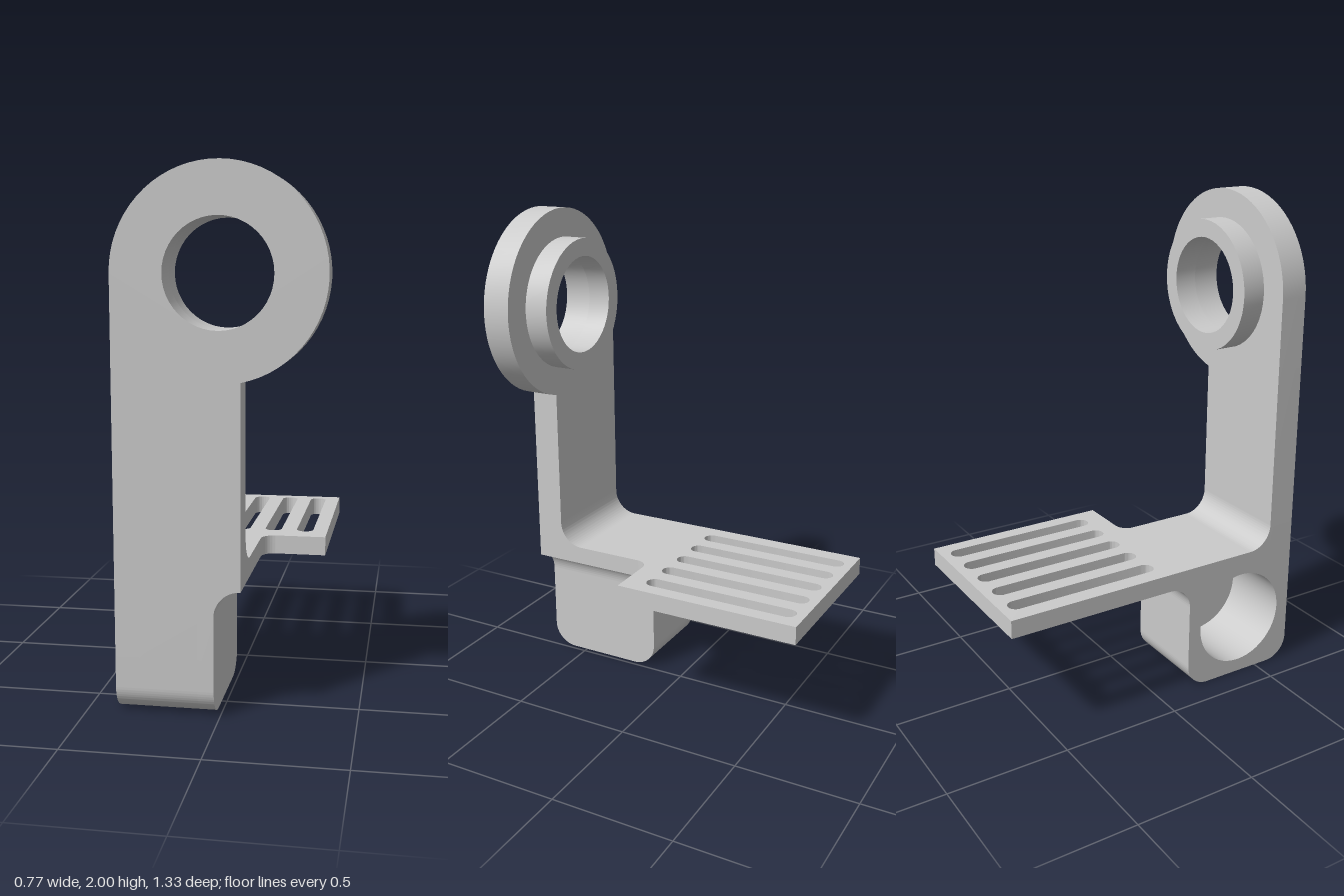
import * as THREE from 'three';
import { toCreasedNormals } from 'three/addons/utils/BufferGeometryUtils.js';

const LEFT = -0.387, RIGHT = 0.08, FRONT = 0.665, BACK = -0.665;
const PLATE_BACK = 0.55, SHELF_LOW = 0.48, SHELF_TOP = 0.555;
const BLOCK_RIGHT = -0.02, BLOCK_BACK = 0.145, R = 0.1;
const EYE_Y = 1.613, EYE_R = 0.387, BORE_R = 0.198;

const material = new THREE.MeshStandardMaterial({ color: 0xcccccc });

function extrude(shape, depth) {
  return new THREE.ExtrudeGeometry(shape, { depth, bevelEnabled: false, curveSegments: 24 });
}

function circle(x, y, r) {
  return new THREE.Path().absarc(x, y, r, 0, Math.PI * 2, false);
}

export function createModel() {
  const group = new THREE.Group();
  const add = (name, geometry) => {
    const mesh = new THREE.Mesh(toCreasedNormals(geometry, 0.4), material);
    mesh.name = name;
    group.add(mesh);
  };
  // Side profiles are drawn in (-z, y) and run along +x
  const alongX = (geometry, x) => geometry.rotateY(Math.PI / 2).translate(x, 0, 0);

  // Upright plate with a round eye at the top
  const plate = new THREE.Shape();
  plate.moveTo(LEFT, SHELF_LOW);
  plate.lineTo(RIGHT, SHELF_LOW);
  plate.lineTo(RIGHT, EYE_Y - Math.sqrt(EYE_R ** 2 - RIGHT ** 2));
  plate.absarc(0, EYE_Y, EYE_R, -Math.acos(RIGHT / EYE_R), Math.PI, false);
  plate.holes.push(circle(0, EYE_Y, BORE_R));
  add('uprightPlate', extrude(plate, FRONT - PLATE_BACK).translate(0, 0, PLATE_BACK));

  // Raised collar behind the eye
  const collar = new THREE.Shape().absarc(0, EYE_Y, 0.27, 0, Math.PI * 2, false);
  collar.holes.push(circle(0, EYE_Y, BORE_R));
  add('eyeCollar', extrude(collar, 0.098).translate(0, 0, 0.452));

  // Slotted shelf, drawn in (x, -z)
  const shelf = new THREE.Shape();
  shelf.moveTo(LEFT, -PLATE_BACK);
  shelf.lineTo(RIGHT, -PLATE_BACK);
  shelf.lineTo(RIGHT, -0.165);
  shelf.absarc(RIGHT + 0.055, -0.165, 0.055, Math.PI, Math.PI / 2, true);
  shelf.lineTo(0.335, -0.11);
  shelf.lineTo(0.335, -BACK);
  shelf.lineTo(LEFT, -BACK);
  for (let i = 0; i < 5; i++) {
    const x = -0.285 + i * 0.1315, r = 0.034;
    const slot = new THREE.Path();
    slot.absarc(x, 0.627 - r, r, 0, Math.PI, false);
    slot.absarc(x, -0.025 + r, r, Math.PI, Math.PI * 2, false);
    shelf.holes.push(slot);
  }
  add('slottedShelf', extrude(shelf, SHELF_TOP - SHELF_LOW)
    .rotateX(-Math.PI / 2).translate(0, SHELF_LOW, 0));

  // Fillet between shelf and plate
  const bend = new THREE.Shape();
  bend.moveTo(-PLATE_BACK, SHELF_TOP);
  bend.lineTo(-PLATE_BACK + R, SHELF_TOP);
  bend.absarc(-PLATE_BACK + R, SHELF_TOP + R, R, -Math.PI / 2, -Math.PI, true);
  add('shelfFillet', alongX(extrude(bend, RIGHT - LEFT), LEFT));

  // Lower block with a blind bore open on the -x side
  const blockShape = () => {
    const s = new THREE.Shape();
    s.moveTo(-FRONT, SHELF_LOW);
    s.lineTo(-FRONT, R);
    s.absarc(-FRONT + R, R, R, Math.PI, Math.PI * 1.5, false);
    s.absarc(-BLOCK_BACK - R, R, R, -Math.PI / 2, 0, false);
    s.lineTo(-BLOCK_BACK, SHELF_LOW);
    return s;
  };
  const floorX = -0.08;
  const bored = blockShape();
  bored.holes.push(circle(-0.405, 0.26, 0.203));
  add('boredBlock', alongX(extrude(bored, floorX - LEFT), LEFT));
  add('blockEndWall', alongX(extrude(blockShape(), BLOCK_RIGHT - floorX), floorX));

  // Fillets under the shelf, mitred where they meet at the block's corner
  const wedge = (length, mitreFar) => {
    const s = new THREE.Shape();
    s.moveTo(0, 0);
    s.absarc(R, 0, R, Math.PI, Math.PI / 2, true);
    s.lineTo(0, R);
    const geometry = extrude(s, length), p = geometry.attributes.position;
    for (let i = 0; i < p.count; i++) {
      const far = p.getZ(i) > length / 2;
      if (far === mitreFar) p.setZ(i, p.getZ(i) + (far ? 1 : -1) * p.getX(i));
    }
    return geometry;
  };
  const wedgeY = SHELF_LOW - R;
  add('blockSideFillet', wedge(FRONT - BLOCK_BACK, false).translate(BLOCK_RIGHT, wedgeY, BLOCK_BACK));
  add('blockBackFillet', wedge(BLOCK_RIGHT - LEFT, true)
    .rotateY(Math.PI / 2).translate(LEFT, wedgeY, BLOCK_BACK));

  return group;
}
